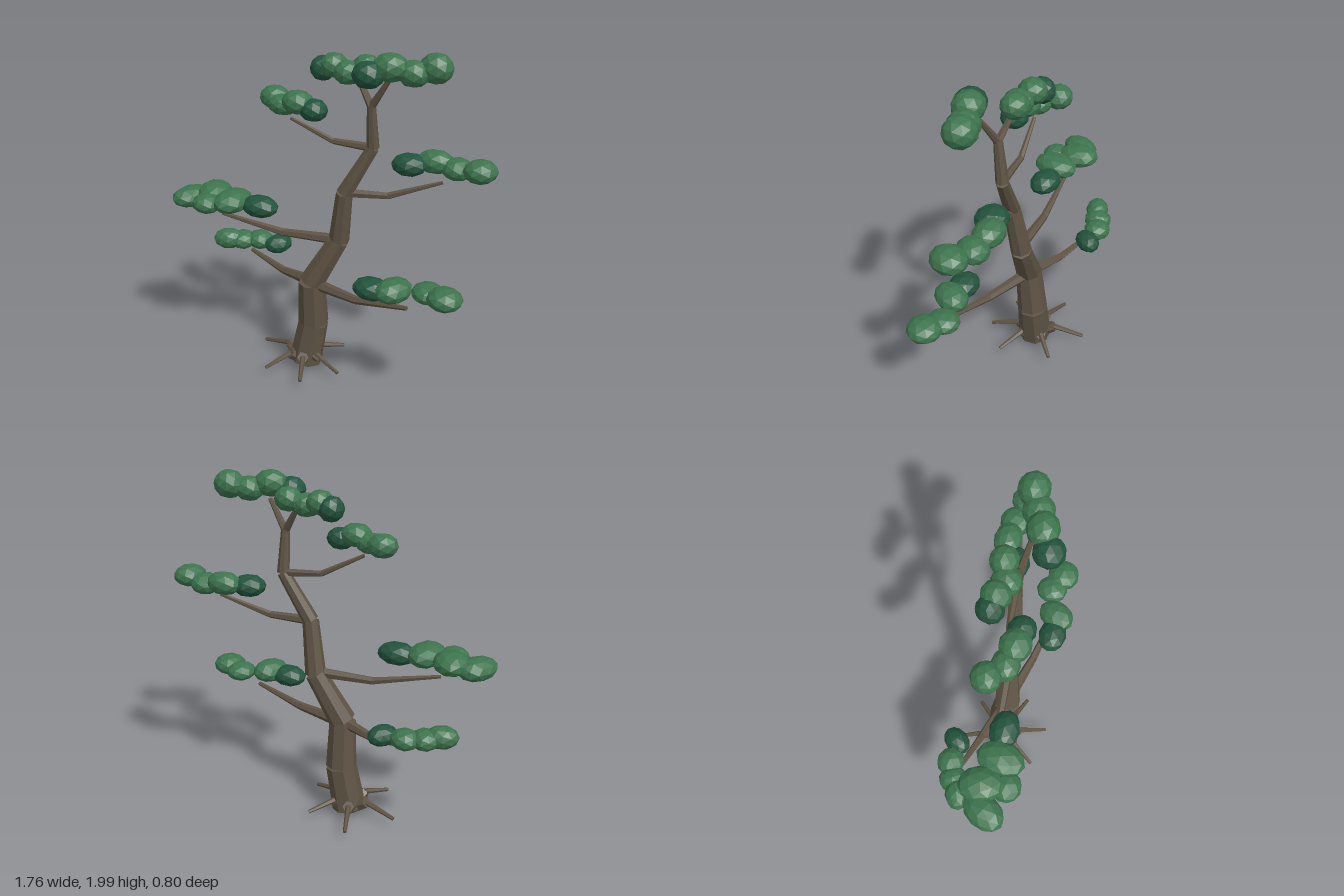
import * as THREE from 'three';

export function createModel() {
  const tree = new THREE.Group();
  tree.name = 'bonsaiTree';

  const make = (name, color) => {
    const m = new THREE.MeshStandardMaterial({ color, flatShading: true });
    m.name = name;
    return m;
  };
  const bark = make('bark', 0x5e5344);
  const leaf = make('leafGreen', 0x3d744e);
  const leafDark = make('leafDarkGreen', 0x22533c);
  const UP = new THREE.Vector3(0, 1, 0);

  // Chain of straight tapered segments; each point is [x, y, z, radius]
  function limb(name, points, sides, parent = tree) {
    const group = new THREE.Group();
    group.name = name;
    for (let i = 0; i < points.length - 1; i++) {
      const [a, b] = [points[i], points[i + 1]];
      const start = new THREE.Vector3(a[0], a[1], a[2]);
      const end = new THREE.Vector3(b[0], b[1], b[2]);
      const dir = end.clone().sub(start);
      const mesh = new THREE.Mesh(
        new THREE.CylinderGeometry(b[3], a[3], dir.length(), sides), bark);
      mesh.name = name + 'Segment';
      mesh.position.copy(start).add(end).multiplyScalar(0.5);
      mesh.quaternion.setFromUnitVectors(UP, dir.normalize());
      group.add(mesh);
    }
    parent.add(group);
  }

  // Row of faceted puffs, the first one dark: [x, y, z, rx, ry, rz, turn]
  function foliage(name, puffs) {
    const group = new THREE.Group();
    group.name = name;
    puffs.forEach(([x, y, z, rx, ry, rz, turn = 0], i) => {
      const mesh = new THREE.Mesh(new THREE.IcosahedronGeometry(1, 1), i ? leaf : leafDark);
      mesh.name = i ? 'leafPuff' : 'darkLeafPuff';
      mesh.position.set(x, y, z);
      mesh.scale.set(rx, ry, rz);
      mesh.rotation.y = turn;
      group.add(mesh);
    });
    tree.add(group);
  }

  // Winding trunk and its fork
  limb('trunk', [
    [-0.13, 0.05, 0.02, 0.1], [-0.085, 0.32, 0, 0.09], [-0.075, 0.6, 0.025, 0.078],
    [0.065, 0.885, -0.05, 0.06], [0.115, 1.19, -0.03, 0.047],
    [0.25, 1.46, -0.1, 0.035], [0.25, 1.7, -0.075, 0.024]], 8);
  limb('leftFork', [[0.25, 1.69, -0.075, 0.022], [0.15, 1.83, -0.09, 0.013]], 6);
  limb('rightFork', [[0.25, 1.69, -0.075, 0.022], [0.36, 1.85, -0.07, 0.013]], 6);

  // Side branches
  limb('lowerRightBranch', [[-0.07, 0.6, 0.02, 0.036], [-0.32, 0.58, -0.01, 0.023], [-0.6, 0.63, -0.03, 0.012]], 6);
  limb('lowerLeftBranch', [[-0.07, 0.59, 0.02, 0.036], [0.25, 0.59, 0.03, 0.024], [0.58, 0.65, 0.02, 0.012]], 6);
  limb('middleRightBranch', [[0.07, 0.89, -0.04, 0.032], [-0.25, 0.885, 0.07, 0.023], [-0.6, 0.96, 0.21, 0.011]], 6);
  limb('middleLeftBranch', [[0.11, 1.19, -0.03, 0.028], [0.34, 1.2, -0.12, 0.02], [0.6, 1.3, -0.25, 0.01]], 6);
  limb('upperRightBranch', [[0.25, 1.46, -0.1, 0.024], [0.04, 1.475, -0.025, 0.017], [-0.17, 1.59, 0.08, 0.01]], 6);

  // Roots: a thick knuckle rising from the base, then a thin tip
  const [cx, cz] = [-0.14, 0.02];
  const tips = [[-0.44, 0.04], [-0.3, -0.24], [-0.01, -0.21], [0.145, 0.06], [0.02, 0.26], [-0.23, 0.28]];
  const roots = new THREE.Group();
  roots.name = 'roots';
  tree.add(roots);
  for (const [tx, tz] of tips) {
    const kx = cx + (tx - cx) * 0.38, kz = cz + (tz - cz) * 0.38;
    limb('rootKnuckle', [[cx, 0.05, cz, 0.05], [kx, 0.115, kz, 0.034]], 6, roots);
    limb('rootTip', [[kx, 0.115, kz, 0.017], [tx, 0.07, tz, 0.011]], 6, roots);
  }

  // Foliage pads, bottom to top
  foliage('lowerRightPad', [
    [-0.45, 0.685, -0.11, 0.068, 0.058, 0.09, -0.4], [-0.575, 0.69, -0.08, 0.085, 0.058, 0.08],
    [-0.66, 0.69, -0.015, 0.08, 0.058, 0.085, 0.3], [-0.725, 0.7, 0.045, 0.095, 0.065, 0.07, 0.6]]);
  foliage('lowerLeftPad', [
    [0.39, 0.735, 0.085, 0.11, 0.063, 0.085, 0.2], [0.51, 0.75, 0.05, 0.09, 0.068, 0.115, -0.2],
    [0.66, 0.74, -0.055, 0.09, 0.055, 0.095, 0.3], [0.775, 0.75, -0.035, 0.1, 0.063, 0.098]]);
  foliage('middleRightPad', [
    [-0.35, 1.05, 0.155, 0.115, 0.064, 0.085, 0.2], [-0.505, 1.065, 0.215, 0.1, 0.066, 0.138, 0.15],
    [-0.62, 1.05, 0.31, 0.088, 0.058, 0.085], [-0.675, 1.07, 0.185, 0.1, 0.064, 0.125, 0.5],
    [-0.79, 1.04, 0.265, 0.09, 0.063, 0.128, -0.25]]);
  foliage('middleLeftPad', [
    [0.42, 1.375, -0.2, 0.1, 0.062, 0.09, 0.3], [0.525, 1.39, -0.29, 0.105, 0.066, 0.08, 0.2],
    [0.65, 1.37, -0.31, 0.085, 0.062, 0.09, -0.3], [0.79, 1.39, -0.3, 0.09, 0.064, 0.1]]);
  foliage('upperRightPad', [
    [-0.015, 1.66, 0.075, 0.08, 0.062, 0.075], [-0.11, 1.69, 0.09, 0.09, 0.066, 0.085],
    [-0.21, 1.66, 0.09, 0.09, 0.058, 0.075, 0.3], [-0.315, 1.675, 0.04, 0.085, 0.066, 0.08, 0.4]]);
  foliage('topRightPad', [
    [-0.065, 1.85, -0.07, 0.07, 0.07, 0.075], [0.005, 1.875, -0.075, 0.075, 0.068, 0.08],
    [0.1, 1.85, -0.07, 0.08, 0.066, 0.08, 0.3], [0.18, 1.88, -0.125, 0.078, 0.068, 0.075]]);
  foliage('topLeftPad', [
    [0.31, 1.89, 0.045, 0.085, 0.072, 0.085], [0.39, 1.925, -0.03, 0.095, 0.076, 0.085, 0.4],
    [0.485, 1.895, -0.1, 0.085, 0.07, 0.085], [0.57, 1.92, -0.17, 0.09, 0.08, 0.085]]);

  return tree;
}
